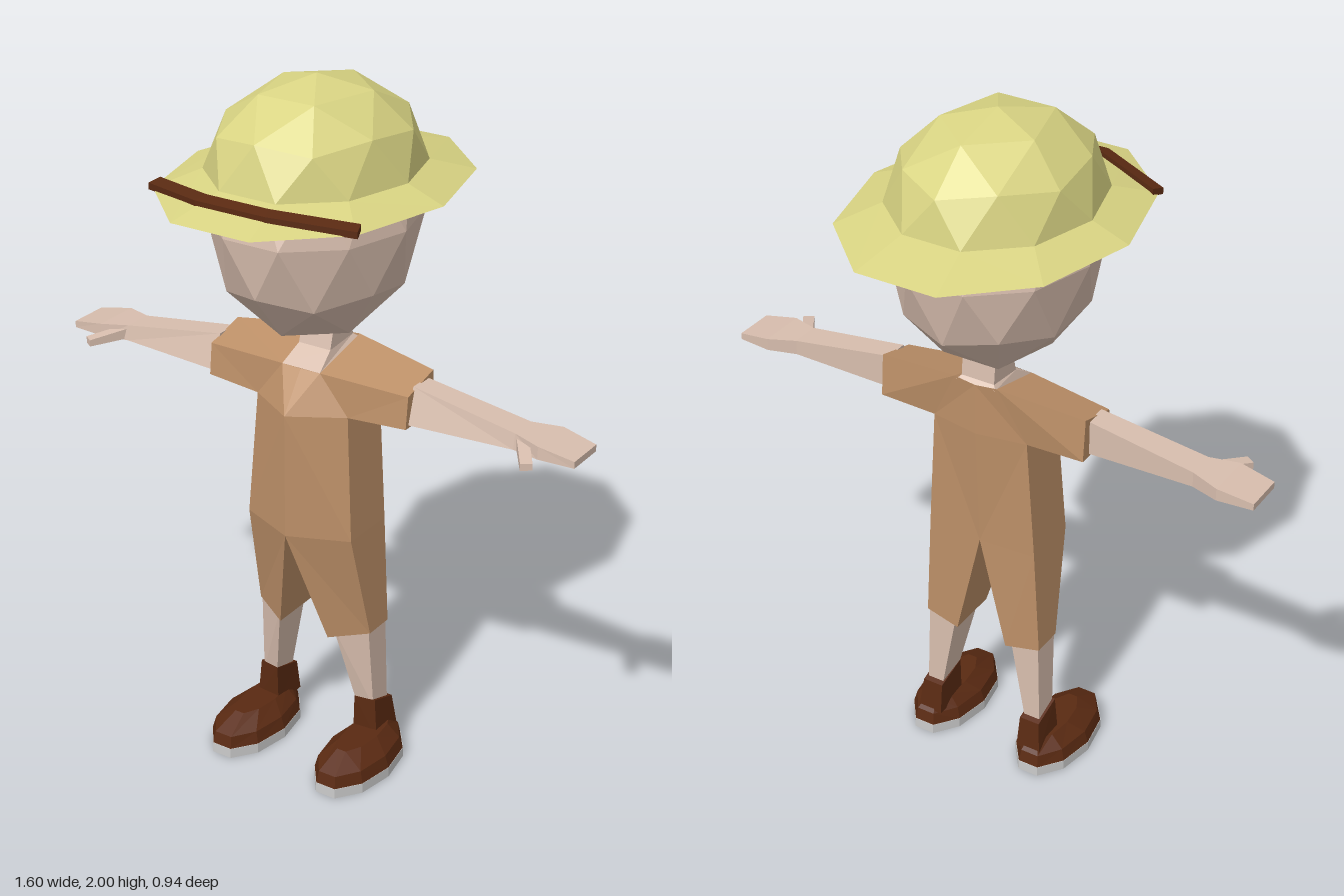
import * as THREE from 'three';

const paint = (color) => new THREE.MeshStandardMaterial({ color, flatShading: true, side: THREE.DoubleSide });

// Mesh from consistently wound polygons; winding is turned outward by signed volume.
function polyMesh(name, material, faces) {
  const tris = [];
  for (const f of faces) {
    for (let i = 1; i < f.length - 1; i++) tris.push([f[0], f[i], f[i + 1]].map((p) => new THREE.Vector3(...p)));
  }
  const centre = new THREE.Vector3();
  tris.flat().forEach((v) => centre.addScaledVector(v, 1 / (tris.length * 3)));
  let volume = 0;
  for (const t of tris) {
    const [a, b, c] = t.map((v) => v.clone().sub(centre));
    volume += a.dot(b.cross(c));
  }
  if (volume < 0) tris.forEach((t) => t.reverse());
  const geometry = new THREE.BufferGeometry().setFromPoints(tris.flat());
  geometry.computeVertexNormals();
  const mesh = new THREE.Mesh(geometry, material);
  mesh.name = name;
  return mesh;
}

// Faces between successive rings of points, with optional end caps.
function loft(rings, capStart = true, capEnd = true) {
  const faces = [];
  const n = rings[0].length;
  for (let r = 0; r < rings.length - 1; r++) {
    for (let i = 0; i < n; i++) {
      const j = (i + 1) % n;
      faces.push([rings[r][i], rings[r][j], rings[r + 1][j], rings[r + 1][i]]);
    }
  }
  if (capStart) faces.push([...rings[0]].reverse());
  if (capEnd) faces.push(rings[rings.length - 1]);
  return faces;
}

const mirror = (faces, side) => faces.map((f) => f.map(([x, y, z]) => [x * side, y, z]));

// Ten-sided horizontal oval
const oval = (y, rx, rz, cx = 0, cz = 0) =>
  Array.from({ length: 10 }, (_, i) => {
    const a = (i * Math.PI) / 5;
    return [cx + rx * Math.cos(a), y, cz + rz * Math.sin(a)];
  });

// Faceted ball standing on a vertex, so that it has a flat ten-sided equator
function ballFaces(rx, ry, rz, cy, upperOnly) {
  const g = new THREE.IcosahedronGeometry(1, 1);
  g.rotateZ(Math.atan(2 / (1 + Math.sqrt(5)))).rotateY(-Math.PI / 2);
  const p = g.attributes.position;
  const faces = [];
  for (let i = 0; i < p.count; i += 3) {
    const f = [0, 1, 2].map((k) => [p.getX(i + k), p.getY(i + k), p.getZ(i + k)]);
    if (upperOnly && f.some((v) => v[1] < -0.01)) continue;
    faces.push(f.map(([x, y, z]) => [x * rx, cy + y * ry, z * rz]));
  }
  return faces;
}

export function createModel() {
  const model = new THREE.Group();
  const skin = paint(0xd8beae);
  const cloth = paint(0xbd9068);
  const straw = paint(0xd9d483);
  const brown = paint(0x5a2a12);
  const grey = paint(0xcccccc);
  const add = (parent, name, material, faces) => parent.add(polyMesh(name, material, faces));

  // Head and neck
  add(model, 'head', skin, ballFaces(0.272, 0.345, 0.315, 1.63, false));
  const neckRing = (yf, yb, w, zf, zb) => [[-w, yf, zf], [w, yf, zf], [w, yb, zb], [-w, yb, zb]];
  add(model, 'neck', skin, loft([
    neckRing(1.21, 1.25, 0.06, 0.075, -0.112),
    neckRing(1.25, 1.26, 0.05, 0.01, -0.1),
    neckRing(1.36, 1.36, 0.05, -0.02, -0.09),
  ]));

  // Hat: half-ball crown, sloping brim and a band along the front of the brim
  const hat = new THREE.Group();
  hat.name = 'hat';
  add(hat, 'crown', straw, ballFaces(0.275, 0.24, 0.326, 1.76, true));
  add(hat, 'brim', straw, loft([oval(1.72, 0.38, 0.494), oval(1.76, 0.275, 0.326)], false, false));
  const bandPath = [[-0.31, 1.728, 0.28], [-0.1, 1.75, 0.367], [0.1, 1.75, 0.367], [0.31, 1.728, 0.28]];
  add(hat, 'hatBand', brown, loft(bandPath.map(([x, y, z]) => {
    const lean = Math.sign(x) * 0.006;
    return [
      [x - lean, y - 0.007, z - 0.017], [x + lean, y - 0.013, z + 0.017],
      [x + lean, y + 0.005, z + 0.017], [x - lean, y + 0.013, z - 0.017],
    ];
  })));
  model.add(hat);

  for (const side of [1, -1]) {
    const half = new THREE.Group();
    half.name = side > 0 ? 'leftHalf' : 'rightHalf';
    const part = (name, material, faces) => add(half, name, material, mirror(faces, side));

    // Half of the suit: trunk flowing into one trouser leg, open along the middle
    const suit = loft([
      [[0, 1.1, 0.155], [0.145, 1.1, 0.07], [0.145, 1.1, -0.09], [0, 1.1, -0.115]],
      [[0, 0.74, 0.155], [0.168, 0.74, 0.085], [0.168, 0.74, -0.085], [0, 0.74, -0.095]],
      [[0.08, 0.4, 0.065], [0.185, 0.42, 0.01], [0.185, 0.42, -0.082], [0.08, 0.4, -0.09]],
    ], false, true).filter((f) => f.some((p) => p[0] !== 0));
    part('trunkAndTrouserLeg', cloth, suit);

    // Chest, shoulder and sleeve
    const chest = [0, 1.1, 0.155], armpitFront = [0.145, 1.1, 0.07];
    const armpitBack = [0.145, 1.1, -0.09], backLow = [0, 1.1, -0.115];
    const collarMid = [0, 1.21, 0.077], collar = [0.06, 1.21, 0.075];
    const nape = [0.065, 1.258, -0.112], napeMid = [0, 1.252, -0.115];
    const cuff = [[0.315, 1.105, 0.055], [0.315, 1.105, -0.09], [0.315, 1.227, -0.08], [0.315, 1.195, 0.045]];
    part('shoulderAndSleeve', cloth, [
      [chest, armpitFront, collar, collarMid],
      [armpitFront, cuff[0], cuff[3], collar],
      [collar, cuff[3], cuff[2], nape],
      [nape, cuff[2], cuff[1], armpitBack],
      [napeMid, nape, armpitBack, backLow],
      [armpitFront, armpitBack, cuff[1], cuff[0]],
      cuff,
    ]);

    // Arm and flat hand: x, low y, high y, back z, top front z, bottom front z
    const arm = [
      [0.31, 1.113, 1.212, -0.058, 0.012, 0.042],
      [0.62, 1.122, 1.165, -0.062, 0.022, 0.03],
      [0.7, 1.125, 1.16, -0.09, 0.048, 0.05],
      [0.8, 1.123, 1.142, -0.078, 0.04, 0.04],
    ];
    part('armAndHand', skin, loft(arm.map(([x, lo, hi, back, top, low]) =>
      [[x, lo, low], [x, lo, back], [x, hi, back], [x, hi, top]])));
    part('thumb', skin, loft([[0.635, 0.01, 1.125, 1.155], [0.7, 0.107, 1.118, 1.137]].map(([x, z, lo, hi]) =>
      [[x - 0.013, lo, z + 0.009], [x + 0.013, lo, z - 0.009], [x + 0.013, hi, z - 0.009], [x - 0.013, hi, z + 0.009]])));

    // Shin and sock
    part('shin', skin, loft([
      [[0.09, 0.43, 0.052], [0.18, 0.43, 0.01], [0.18, 0.43, -0.078], [0.09, 0.43, -0.08]],
      [[0.138, 0.17, 0], [0.188, 0.17, -0.008], [0.188, 0.17, -0.08], [0.138, 0.17, -0.08]],
    ]));
    part('sock', brown, loft([
      [[0.133, 0.195, 0.006], [0.195, 0.195, -0.004], [0.195, 0.165, -0.095], [0.133, 0.165, -0.095]],
      [[0.13, 0.07, 0.006], [0.205, 0.07, 0], [0.205, 0.07, -0.108], [0.13, 0.07, -0.108]],
    ]));

    // Rounded shoe on a flat sole
    part('sole', grey, loft([oval(0, 0.1, 0.184, 0.178, 0.05), oval(0.03, 0.1, 0.184, 0.178, 0.05)]));
    part('shoe', brown, loft([
      oval(0.03, 0.099, 0.182, 0.178, 0.05),
      oval(0.065, 0.088, 0.174, 0.178, 0.05),
      oval(0.1, 0.046, 0.12, 0.175, 0.024),
    ], false));
    model.add(half);
  }
  return model;
}
